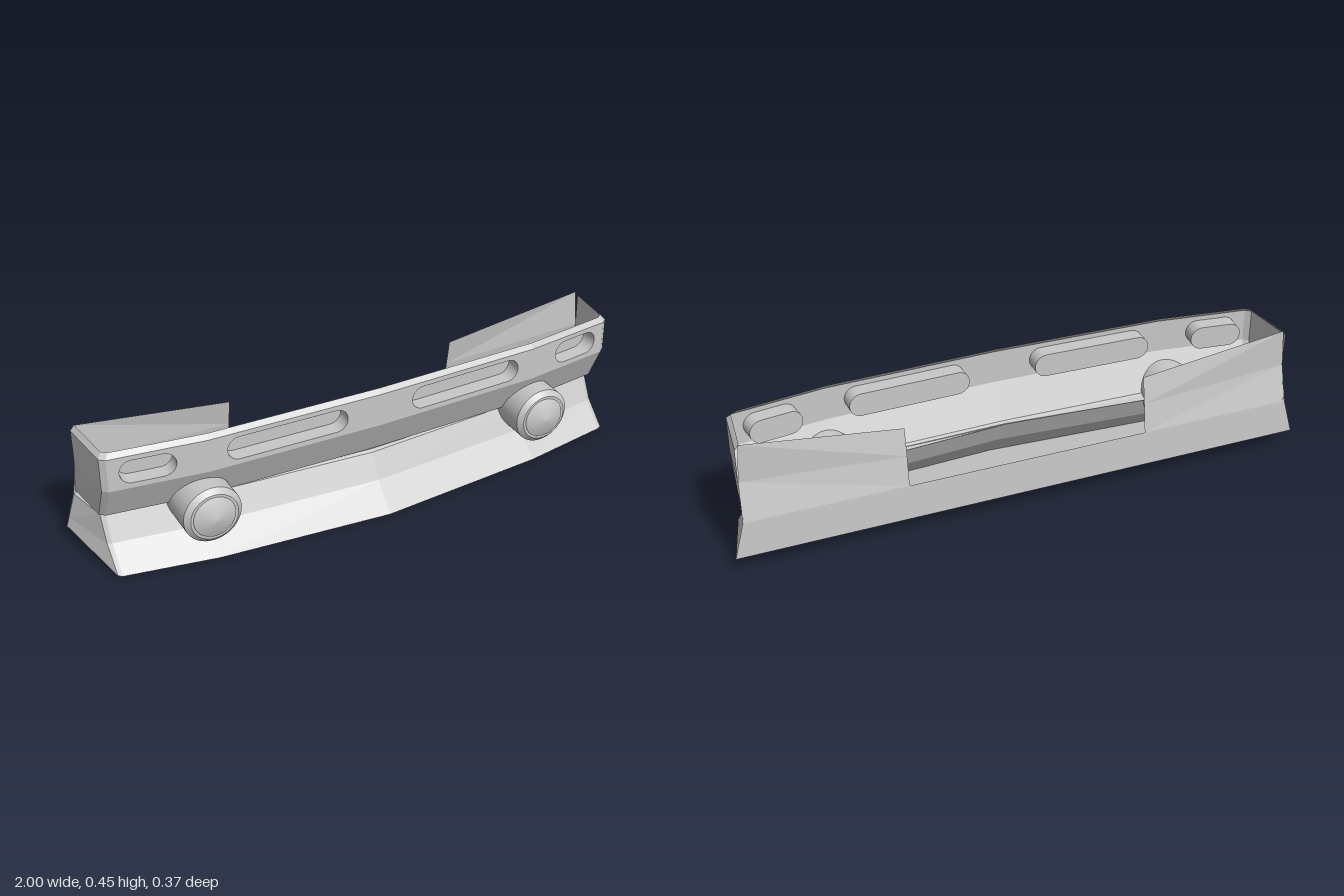
import * as THREE from 'three';

const paint = new THREE.MeshStandardMaterial({ color: 0xc8c8c8, side: THREE.DoubleSide });
paint.name = 'plain grey';

function mesh(geometry, name) {
  const m = new THREE.Mesh(geometry, paint);
  m.name = name;
  return m;
}

// Sheet of flat quads between rows of points; skip(i, j) leaves a cell open
function loft(rows, name, skip = () => false) {
  const v = [];
  for (let i = 0; i < rows.length - 1; i++) {
    for (let j = 0; j < rows[i].length - 1; j++) {
      if (skip(i, j)) continue;
      const a = rows[i][j], b = rows[i][j + 1], c = rows[i + 1][j + 1], d = rows[i + 1][j];
      v.push(...a, ...b, ...c, ...a, ...c, ...d);
    }
  }
  const g = new THREE.BufferGeometry();
  g.setAttribute('position', new THREE.Float32BufferAttribute(v, 3));
  g.computeVertexNormals();
  return mesh(g, name);
}

const flip = ([x, y, z]) => [-x, y, z];
// Full row from its +x half, running from -x back corner to +x back corner
const full = (half) => [...half.slice(1).reverse().map(flip), ...half];

// Plan outlines (x, z): centre, bend, front corner, side corner, back corner
const facePlan = [[0, 0.118], [0.6, 0.103], [0.922, 0.06], [0.94, 0.045], [0.96, -0.15]];
const skirtPlan = [[0, 0.185], [0.6, 0.143], [0.915, 0.096], [0.93, 0.088], [1, -0.185]];
const floorY = (z) => (0.185 - z) * 0.162;

// Half row at height y: plan shifted in z, with its own back corner
const row = (plan, y, dz, backX, backZ, inset = 0) => plan.map(([x, z], j) =>
  j === 4 ? [backX - inset, y, backZ] : [x && x - (j > 1 ? inset : 0), y, z + dz - inset]);

// Front panel between two plan points, pierced by a pill-shaped pocket
function slotPanel(p, q, from, to, name) {
  const y0 = 0.318, y1 = 0.435, low = 0.336, r = 0.041, depth = 0.055;
  const dx = q[0] - p[0], dz = q[1] - p[1], len = Math.hypot(dx, dz);
  const u0 = (from - p[0]) / dx * len, u1 = (to - p[0]) / dx * len;
  const pill = new THREE.Path();
  pill.absarc(u1 - r, low + r, r, -Math.PI / 2, Math.PI / 2, false);
  pill.absarc(u0 + r, low + r, r, Math.PI / 2, Math.PI * 1.5, false);
  pill.closePath();
  const plate = new THREE.Shape([[0, y0], [len, y0], [len, y1], [0, y1]]
    .map(([x, y]) => new THREE.Vector2(x, y)));
  plate.holes.push(pill);
  const outline = pill.getPoints(10);
  const group = new THREE.Group();
  group.name = name;
  const back = mesh(new THREE.ShapeGeometry(new THREE.Shape(outline)), 'pocketBack');
  back.position.z = -depth;
  group.add(
    mesh(new THREE.ShapeGeometry(plate, 10), 'panel'),
    loft([-depth, 0].map((z) => outline.map((o) => [o.x, o.y, z])), 'pocketWall'),
    back);
  group.position.set(p[0], 0, p[1]);
  group.rotation.y = -Math.atan2(dz, dx);
  return group;
}

function lamp(x) {
  const group = new THREE.Group();
  group.name = 'fogLamp';
  const barrel = mesh(new THREE.CylinderGeometry(0.1, 0.1, 0.166, 40), 'barrel');
  barrel.position.y = 0.063;
  const bevel = mesh(new THREE.CylinderGeometry(0.082, 0.1, 0.016, 40), 'bevel');
  bevel.position.y = 0.154;
  const profile = [[0.074, 0.16], [0.07, 0.167], [0.035, 0.177], [0.015, 0.183], [0, 0.185]];
  const lens = mesh(new THREE.LatheGeometry(
    profile.map(([r, y]) => new THREE.Vector2(r, y)), 40), 'lens');
  group.add(barrel, bevel, lens);
  group.rotation.x = Math.PI / 2;
  group.position.set(x, 0.187, 0);
  return group;
}

export function createModel() {
  const model = new THREE.Group();
  model.name = 'bumper';

  // Flared lower skirt, with a floor closing its underside
  const base = skirtPlan.map(([x, z]) => [x, floorY(z), z]);
  const skirtTop = row(skirtPlan, 0.178, -0.124, 0.965, -0.181);
  model.add(loft([base, row(skirtPlan, 0.092, -0.08, 0.99, -0.184), skirtTop].map(full), 'skirt'));
  model.add(loft([base.map(flip), base], 'floor'));

  // Narrow groove between skirt and upper body
  const upperLow = row(facePlan, 0.194, -0.058, 0.96, -0.18);
  model.add(loft([
    skirtTop,
    row(skirtPlan, 0.184, -0.124, 0.965, -0.181, 0.012),
    row(facePlan, 0.189, -0.058, 0.96, -0.18, 0.012),
    upperLow,
  ].map(full), 'groove'));

  // Upper body with a chamfered rim; its front panels are added separately
  model.add(loft([
    upperLow,
    row(facePlan, 0.318, 0, 0.96, -0.15),
    row(facePlan, 0.435, 0, 0.96, -0.152),
    row(facePlan, 0.452, 0, 0.96, -0.152, 0.014),
  ].map(full), 'upperBody', (i, j) => i === 1 && j >= 2 && j <= 5));

  const [c, b, f] = facePlan;
  const mirror = ([x, z]) => [-x, z];
  model.add(
    slotPanel(c, b, 0.12, 0.54, 'leftLongSlot'),
    slotPanel(mirror(b), c, -0.54, -0.12, 'rightLongSlot'),
    slotPanel(b, f, 0.705, 0.885, 'leftShortSlot'),
    slotPanel(mirror(f), mirror(b), -0.885, -0.705, 'rightShortSlot'));

  // Back wall: full width below, two raised wings beside the opening
  model.add(loft([
    [[-1, 0.06, -0.185], [1, 0.06, -0.185]],
    [[-0.965, 0.186, -0.181], [0.965, 0.186, -0.181]],
  ], 'backWall'));
  for (const s of [-1, 1]) {
    model.add(loft([
      [[s * 0.42, 0.186, -0.181], [s * 0.965, 0.186, -0.181]],
      [[s * 0.42, 0.29, -0.166], [s * 0.96, 0.318, -0.15]],
      [[s * 0.42, 0.385, -0.15], [s * 0.95, 0.452, -0.152]],
    ], 'backWing'));
    model.add(lamp(s * 0.62));
  }
  return model;
}
